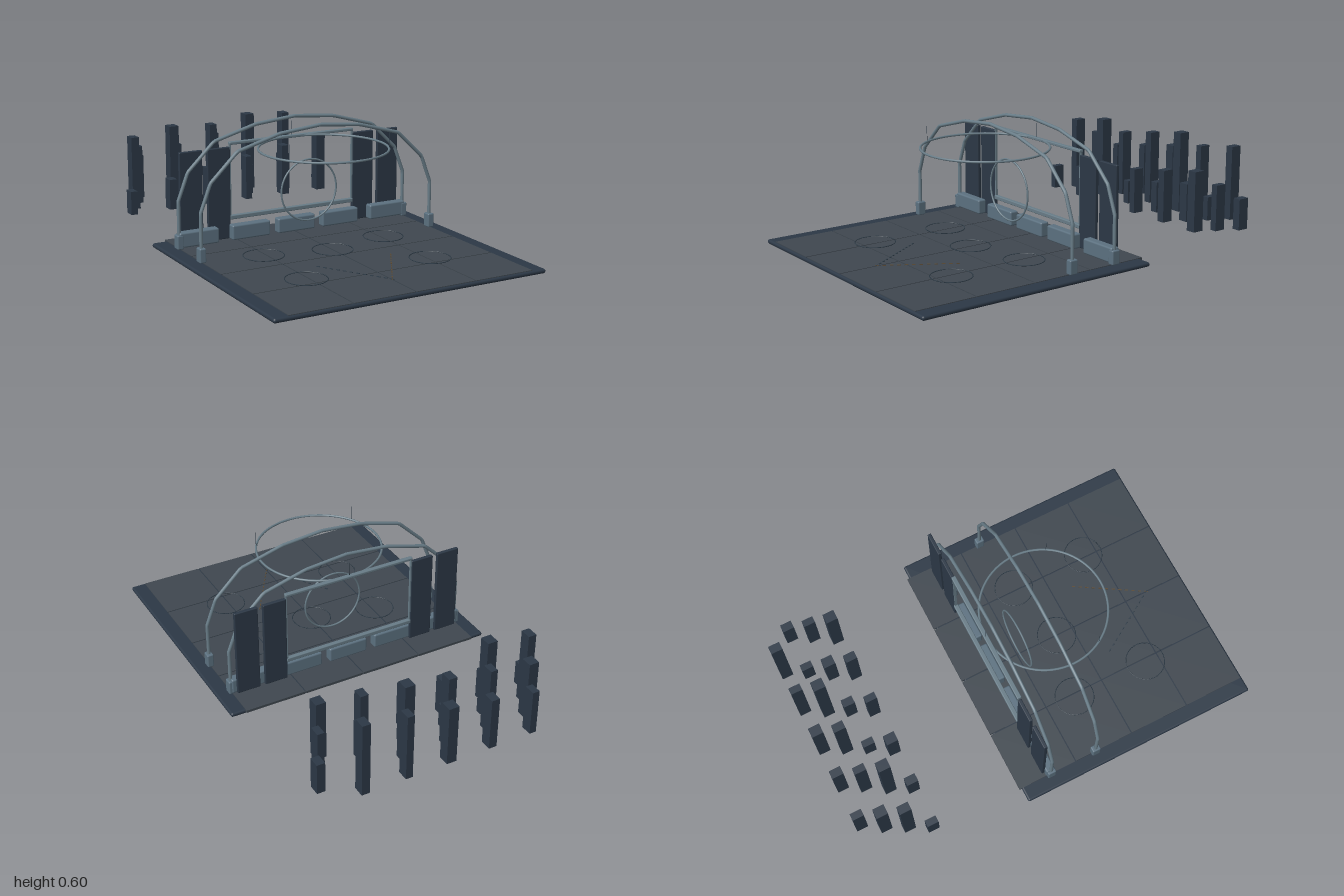
import * as THREE from 'three';
import { RoundedBoxGeometry } from 'three/addons/geometries/RoundedBoxGeometry.js';

const mat = (color) => new THREE.MeshStandardMaterial({ color });
const dark = mat(0x2c3846);
const floorMat = mat(0x3f474f);
const steel = mat(0x687c87);
const bench = mat(0x5c7180);
const line = mat(0x2e3c48);
const gold = mat(0x5a4a35);

export function createModel() {
  const root = new THREE.Group();

  const add = (name, geometry, material, x = 0, y = 0, z = 0) => {
    const mesh = new THREE.Mesh(geometry, material);
    mesh.name = name;
    mesh.position.set(x, y, z);
    root.add(mesh);
    return mesh;
  };
  const box = (name, w, h, d, material, x, y, z) =>
    add(name, new THREE.BoxGeometry(w, h, d), material, x, y, z);
  const rounded = (name, w, h, d, r, material, x, y, z) =>
    add(name, new RoundedBoxGeometry(w, h, d, 3, r), material, x, y, z);

  // Stage slab with a 4 x 4 field of floor tiles
  rounded('stageSlab', 1.36, 0.021, 1.215, 0.01, dark, 0, 0.0105, 0.3925);
  const pitch = 0.306;
  for (let i = 0; i < 4; i++) {
    for (let j = 0; j < 4; j++) {
      box('floorTile', pitch - 0.006, 0.012, pitch - 0.006, floorMat,
        (i - 1.5) * pitch, 0.018, 0.994 - (j + 0.5) * pitch);
    }
  }

  // Thin floor circles
  for (const [x, z] of [[-0.32, 0.225], [0, 0.297], [0.32, 0.225], [-0.32, 0.62], [0.32, 0.62]]) {
    add('floorCircle', new THREE.TorusGeometry(0.095, 0.002, 5, 40), line, x, 0.026, z)
      .rotation.x = Math.PI / 2;
  }

  // Dashed chevron on the floor
  for (const side of [-1, 1]) {
    for (let k = 0; k < 12; k++) {
      const t = k / 11;
      box('chevronDash', 0.005, 0.003, 0.016, side > 0 ? gold : line,
        side * 0.19 * t, 0.026, 0.805 - 0.31 * t).rotation.y = -side * 0.55;
    }
  }

  // Two faceted arches with feet
  const half = [[0.61, 0.06], [0.61, 0.25], [0.56, 0.38], [0.425, 0.51], [0.21, 0.57]];
  const profile = [...half.map(([x, y]) => [-x, y]), [0, 0.59], ...half.slice().reverse()];
  for (const z of [0.18, -0.06]) {
    const path = new THREE.CurvePath();
    for (let i = 1; i < profile.length; i++) {
      path.add(new THREE.LineCurve3(
        new THREE.Vector3(...profile[i - 1], z), new THREE.Vector3(...profile[i], z)));
    }
    add('arch', new THREE.TubeGeometry(path, 120, 0.0085, 10, false), steel);
    for (const side of [-1, 1]) {
      rounded('archFoot', 0.032, 0.068, 0.042, 0.006, bench, side * 0.61, 0.057, z);
    }
  }

  // Row of low benches
  for (const x of [-0.513, -0.243, 0, 0.243, 0.513]) {
    rounded('bench', 0.2, 0.072, 0.045, 0.008, bench, x, 0.065, -0.063);
  }

  // Tall side panels
  for (const side of [-1, 1]) {
    for (const x of [0.391, 0.533]) {
      rounded('sidePanel', 0.116, 0.44, 0.018, 0.004, dark, side * x, 0.25, -0.09);
    }
    box('screenSide', 0.007, 0.36, 0.012, steel, side * 0.331, 0.307, -0.09);
  }

  // Open screen frame
  rounded('screenTop', 0.67, 0.014, 0.022, 0.004, steel, 0, 0.486, -0.09);
  rounded('screenBottom', 0.67, 0.02, 0.022, 0.004, steel, 0, 0.13, -0.09);

  // Hanging ring on three wires, and upright ring
  add('hangingRing', new THREE.TorusGeometry(0.3, 0.0055, 8, 72), steel, 0, 0.485, 0.21)
    .rotation.x = Math.PI / 2;
  for (const a of [30, 150, 270]) {
    const r = THREE.MathUtils.degToRad(a);
    add('ringWire', new THREE.CylinderGeometry(0.0012, 0.0012, 0.075, 6), line,
      0.3 * Math.cos(r), 0.5225, 0.21 + 0.3 * Math.sin(r));
  }
  add('uprightRing', new THREE.TorusGeometry(0.147, 0.0045, 8, 64), steel, 0, 0.26, 0.075);

  // Skyline of towers: height, width and row follow repeating cycles
  const widths = [0.034, 0.04, 0.049];
  for (let i = 0; i < 23; i++) {
    const top = 0.16 + 0.0356 * ((i * 7) % 9);
    box('skylineTower', widths[i % 3], top - 0.042, 0.056, dark,
      (i - 11) * 0.0532, (top + 0.042) / 2, -0.676 - 0.0987 * (i % 4));
  }

  return root;
}
